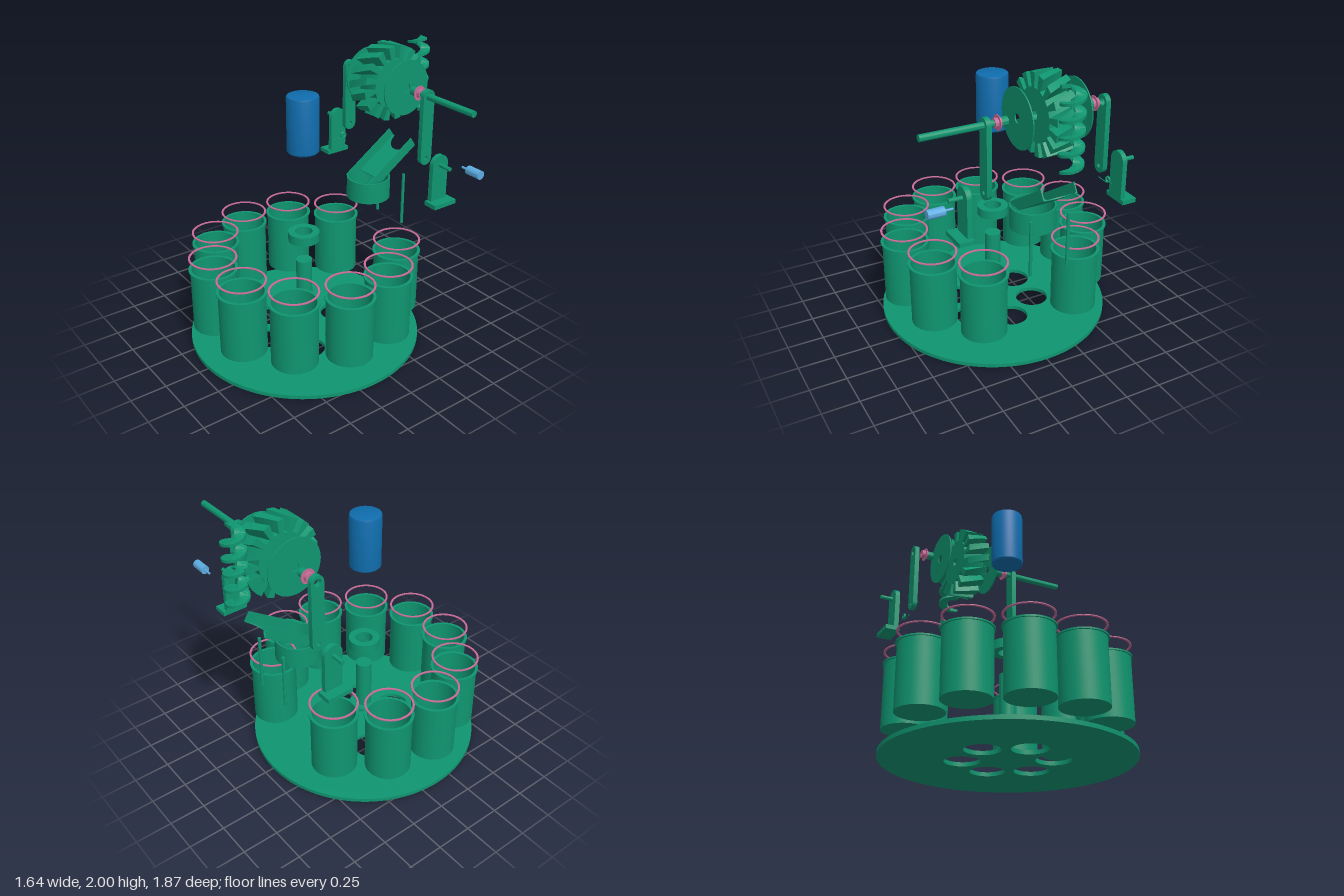
import * as THREE from 'three';
import { toCreasedNormals } from 'three/addons/utils/BufferGeometryUtils.js';

const mat = (color) => new THREE.MeshStandardMaterial({ color, side: THREE.DoubleSide });
const GREEN = mat(0x0f9670), BLUE = mat(0x0f6cac), SKY = mat(0x5dade2), PINK = mat(0xc86c98);
const CX = -0.015, CZ = 0.125;            // carousel axis
const AY = 1.73, AZ = -0.577;             // wheel axle

export function createModel() {
  const model = new THREE.Group();

  const add = (name, geo, material = GREEN, x = 0, y = 0, z = 0, parent = model) => {
    const mesh = new THREE.Mesh(toCreasedNormals(geo, 0.6), material);
    mesh.name = name;
    mesh.position.set(x, y, z);
    parent.add(mesh);
    return mesh;
  };
  const lathe = (pts, seg = 48) =>
    new THREE.LatheGeometry(pts.map(([r, y]) => new THREE.Vector2(r, y)), seg);
  // washer-like solid between two radii, standing on y = 0
  const tube = (ri, ro, h, seg = 48) =>
    lathe([[ri, 0], [ro, 0], [ro, h], [ri, h], [ri, 0]], seg);
  // solid rod along x from x0 to x1
  const rodX = (r, x0, x1) =>
    new THREE.CylinderGeometry(r, r, x1 - x0, 28).rotateZ(Math.PI / 2).translate((x0 + x1) / 2, 0, 0);
  // ring along x
  const ringX = (ri, ro, x0, x1) => tube(ri, ro, x1 - x0).rotateZ(-Math.PI / 2).translate(x0, 0, 0);
  const extrude = (shape, depth, steps = 1) =>
    new THREE.ExtrudeGeometry(shape, { depth, steps, bevelEnabled: false, curveSegments: 24 });
  // profile drawn in (z, y), given a thickness from x0 towards +x
  const plateX = (shape, x0, t) =>
    extrude(shape, t).rotateY(-Math.PI / 2).translate(x0 + t, 0, 0);
  const hole = (shape, x, y, r) => shape.holes.push(new THREE.Path().absarc(x, y, r, 0, Math.PI * 2, true));

  // Base disc with six openings
  const disc = new THREE.Shape().absarc(0, 0, 0.81, 0, Math.PI * 2, false);
  for (let i = 0; i < 6; i++) {
    const a = Math.PI / 6 + i * Math.PI / 3;
    hole(disc, 0.285 * Math.cos(a), 0.285 * Math.sin(a), 0.115);
  }
  const baseGeo = new THREE.ExtrudeGeometry(disc, { depth: 0.027, bevelEnabled: false, curveSegments: 64 });
  add('baseDisc', baseGeo.rotateX(-Math.PI / 2), GREEN, CX, 0, CZ);

  // Ten cups with seal rings, on an eleven-place circle with the rear place empty
  const cup = lathe([[0, 0], [0.156, 0], [0.156, 0.432], [0.166, 0.432], [0.166, 0.443],
    [0.146, 0.443], [0.146, 0.012], [0, 0.012]]);
  const seal = tube(0.15, 0.164, 0.006);
  for (let i = 1; i <= 10; i++) {
    const a = i * Math.PI * 2 / 11;
    const x = CX + 0.643 * Math.sin(a), z = CZ - 0.643 * Math.cos(a);
    add('cup', cup, GREEN, x, 0.185, z);
    add('sealRing', seal, PINK, x, 0.704, z);
  }

  // Central post, hub and drive motor
  add('centralPost', lathe([[0, 0], [0.1, 0], [0.1, 0.025], [0.056, 0.025], [0.056, 0.385], [0, 0.385]]),
    GREEN, CX, 0.185, CZ);
  add('hub', tube(0.06, 0.108, 0.065), GREEN, CX, 0.725, CZ);
  add('driveMotor', lathe([[0, 0], [0.1, 0], [0.108, 0.01], [0.108, 0.375], [0.104, 0.386], [0.094, 0.39], [0, 0.39]]),
    BLUE, CX, 1.38, CZ);

  // Wheel with sixteen slanted vanes
  const gear = new THREE.Shape();
  const N = 16, pitch = Math.PI * 2 / N, width = 0.165;
  for (let i = 0; i < N; i++) {
    [[0.17, -0.22], [0.26, -0.25], [0.26, 0.25], [0.17, 0.22]].forEach(([r, k], j) => {
      const a = (i + k) * pitch;
      gear[i + j ? 'lineTo' : 'moveTo'](r * Math.cos(a), r * Math.sin(a));
    });
  }
  gear.closePath();
  hole(gear, 0, 0, 0.03);
  const wheelGeo = extrude(gear, width, 6);
  const p = wheelGeo.attributes.position;
  for (let i = 0; i < p.count; i++) {
    const a = -0.25 * p.getZ(i) / width, x = p.getX(i), y = p.getY(i);
    p.setXY(i, x * Math.cos(a) - y * Math.sin(a), x * Math.sin(a) + y * Math.cos(a));
  }
  add('vaneWheel', wheelGeo.rotateY(Math.PI / 2).translate(-0.095, 0, 0), GREEN, 0, AY, AZ);
  for (const x of [-0.218, 0.179]) add('wheelSidePlate', ringX(0.03, 0.19, x, x + 0.008), GREEN, 0, AY, AZ);

  // Axle and bushings
  add('axle', rodX(0.022, 0.34, 0.81), GREEN, 0, AY, AZ);
  for (const s of [-1, 1]) {
    const g = new THREE.Group();
    g.name = 'bushing';
    g.position.set(CX, AY, AZ);
    g.scale.x = 1;
    model.add(g);
    const span = (a, b) => (s > 0 ? [a, b] : [-b, -a]);
    add('bushingSleeve', ringX(0.014, 0.03, ...span(0.27, 0.313)), GREEN, 0, 0, 0, g);
    add('bushingLiner', ringX(0.014, 0.031, ...span(0.313, 0.357)), PINK, 0, 0, 0, g);
    add('bushingFlange', ringX(0.014, 0.049, ...span(0.328, 0.333)), PINK, 0, 0, 0, g);
  }

  // Long arms, pivot brackets with feet and pegs
  const arm = new THREE.Shape();
  arm.absarc(0, AY, 0.047, 0, Math.PI, false);
  arm.absarc(0, 1.3, 0.047, Math.PI, Math.PI * 2, false);
  hole(arm, 0, AY, 0.025);
  hole(arm, 0, 1.3, 0.015);
  const upright = new THREE.Shape().moveTo(-0.066, 1.045).lineTo(0.066, 1.045);
  upright.absarc(0, 1.303, 0.066, 0, Math.PI, false);
  for (const s of [-1, 1]) {
    add('arm', plateX(arm, CX + s * 0.408 - 0.017, 0.034), GREEN, 0, 0, AZ);
    add('bracketUpright', plateX(upright, CX + s * 0.549 - 0.017, 0.034), GREEN, 0, 0, AZ);
    add('bracketFoot', new THREE.BoxGeometry(0.102, 0.03, 0.185), GREEN, CX + s * 0.583, 1.037, -0.578);
    add('bracketPeg', rodX(0.014, -0.045, 0.045), GREEN, CX + s * 0.611, 1.3, AZ);
  }

  // Small motor beside the left bracket
  add('smallMotor', rodX(0.03, 0.71, 0.82), SKY, 0, 1.298, -0.673);
  add('smallMotorShaft', rodX(0.008, 0.655, 0.71), SKY, 0, 1.298, -0.673);

  // Torsion spring: a short coil with two straight legs
  const wire = [new THREE.Vector3(0, -0.02, 0.095)];
  for (let i = 0; i <= 48; i++) {
    const a = -Math.PI / 2 - i * Math.PI / 8;
    wire.push(new THREE.Vector3(-i * 0.0003, 0.02 * Math.sin(a), 0.02 * Math.cos(a)));
  }
  wire.push(new THREE.Vector3(-0.016, -0.02, -0.03));
  add('torsionSpring', new THREE.TubeGeometry(new THREE.CatmullRomCurve3(wire), 200, 0.003, 6),
    GREEN, -0.478, 1.183, -0.577);

  // Chute: sloping floor with a round notch, two side walls
  const L = 0.361, slope = Math.atan2(0.2, 0.3), half = 0.117;
  const floor = new THREE.Shape().moveTo(-half, 0).lineTo(half, 0).lineTo(half, L).lineTo(0.1, L);
  floor.absarc(0, L, 0.1, 0, Math.PI, true);
  floor.lineTo(-half, L);
  add('chuteFloor', extrude(floor, 0.008).rotateX(slope - Math.PI / 2), GREEN, -0.017, 1.05, -0.46);
  const wall = new THREE.Shape().moveTo(-0.33, 1.05).lineTo(-0.46, 1.05).lineTo(-0.76, 1.25).lineTo(-0.72, 1.31);
  for (const x of [-0.136, 0.095]) add('chuteWall', plateX(wall, x, 0.008));

  // Outlet collar and guide pins
  add('outletCollar', tube(0.142, 0.153, 0.15), GREEN, -0.013, 0.905, -0.437);
  for (const x of [-0.15, 0.12])
    add('guidePin', new THREE.CylinderGeometry(0.011, 0.011, 0.385, 16), GREEN, x, 0.867, -0.648);

  // Screw conveyor: a flat strip wound about a vertical axis
  const turns = 5, height = 0.52, strip = new THREE.BoxGeometry(1, 1, 1, 1, 1, turns * 32);
  const q = strip.attributes.position;
  for (let i = 0; i < q.count; i++) {
    const outer = q.getX(i) > 0, r = outer ? 0.078 : 0.013, t = q.getZ(i) + 0.5;
    const a = t * turns * Math.PI * 2;
    q.setXYZ(i, r * Math.cos(a), q.getY(i) * (outer ? 0.018 : 0.026) + height * (1 - t), r * Math.sin(a));
  }
  add('screwConveyor', strip, GREEN, CX, 1.471, -0.857);

  return model;
}
